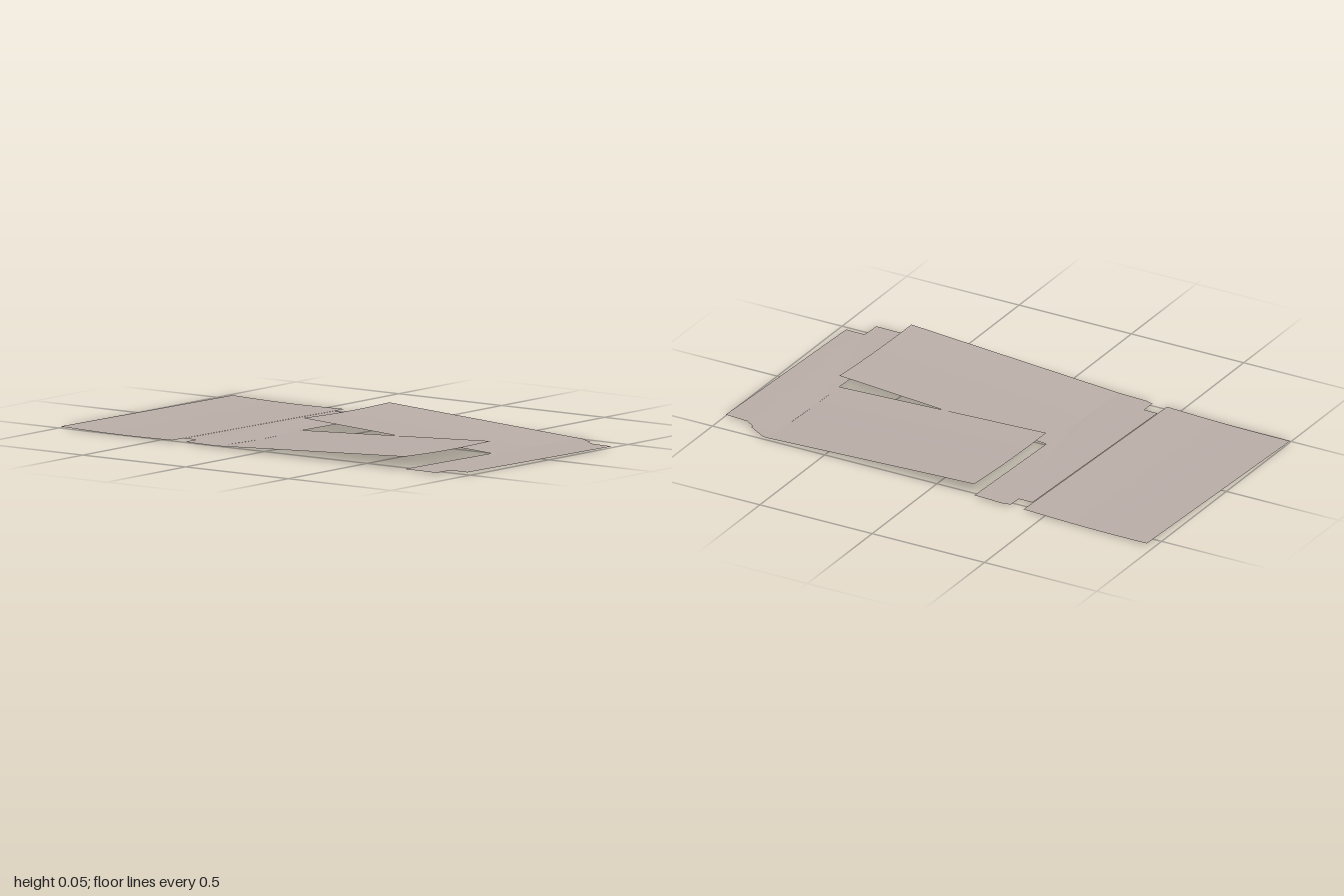
import * as THREE from 'three';

const BASE = 0.007, RISE = 0.055, SAG = 0.005;
const lerp = THREE.MathUtils.lerp;
const material = new THREE.MeshStandardMaterial({ color: 0xb8aca6, side: THREE.DoubleSide });

function makeMesh(name, positions, index) {
  const geometry = new THREE.BufferGeometry();
  geometry.setAttribute('position', new THREE.Float32BufferAttribute(positions, 3));
  geometry.setIndex(index);
  geometry.computeVertexNormals();
  const mesh = new THREE.Mesh(geometry, material);
  mesh.name = name;
  return mesh;
}

// Four-cornered sheet [x, z]: back left, back right, front right, front left.
// height(u, v) gives y, with u across and v from back to front.
function sheet(name, [bl, br, fr, fl], height, nu = 12, nv = 8) {
  const positions = [], index = [];
  for (let j = 0; j <= nv; j++) {
    for (let i = 0; i <= nu; i++) {
      const u = i / nu, v = j / nv;
      const at = (k) => lerp(lerp(bl[k], br[k], u), lerp(fl[k], fr[k], u), v);
      positions.push(at(0), height(u, v), at(1));
      if (i < nu && j < nv) {
        const a = j * (nu + 1) + i, b = a + nu + 1;
        index.push(a, b, a + 1, b, b + 1, a + 1);
      }
    }
  }
  return makeMesh(name, positions, index);
}

// Flat strip cut to an outline of [x, z, y] points
function strip(name, outline) {
  const contour = outline.map(([x, z]) => new THREE.Vector2(x, -z));
  if (THREE.ShapeUtils.isClockWise(contour)) {
    contour.reverse();
    outline = [...outline].reverse();
  }
  const positions = outline.flatMap(([x, z, y = BASE]) => [x, y, z]);
  return makeMesh(name, positions, THREE.ShapeUtils.triangulateShape(contour, []).flat());
}

const sag = (u) => SAG * Math.sin(Math.PI * u);

// Points of a slightly sagging fold between two corners
function fold(a, b, n = 12) {
  return Array.from({ length: n + 1 }, (_, i) => {
    const u = i / n;
    return [lerp(a[0], b[0], u), lerp(a[1], b[1], u), BASE - sag(u)];
  });
}

export function createModel() {
  const group = new THREE.Group();
  group.name = 'unfoldedCarton';

  // Corners of the two large flaps
  const backRightSide = [-0.525, -0.215], backMiddle = [0, -0.198], backLeftSide = [0.523, -0.18];
  const frontRightSide = [-0.554, 0.722], frontMiddle = [-0.031, 0.741], frontLeftSide = [0.492, 0.76];

  // Rear panel, sagging a little in the middle
  group.add(sheet('rearPanel',
    [[-0.493, -1], [0.553, -0.965], [0.534, -0.405], [-0.513, -0.44]],
    (u, v) => BASE - 0.004 * Math.sin(Math.PI * v)));

  // One flap rises to the front, the other to the back
  group.add(sheet('rightFlap',
    [backRightSide, backMiddle, frontMiddle, frontRightSide],
    (u, v) => lerp(BASE, RISE, v) - sag(u)));
  group.add(sheet('leftFlap',
    [backMiddle, backLeftSide, frontLeftSide, frontMiddle],
    (u, v) => lerp(RISE, BASE, v) - sag(u)));

  // Notched strip behind the flaps
  group.add(strip('backStrip', [
    ...fold(backRightSide, backMiddle), backLeftSide,
    [0.53, -0.31], [0.523, -0.342], [0.465, -0.345], [0.466, -0.405],
    [-0.445, -0.436], [-0.447, -0.377], [-0.508, -0.378], [-0.518, -0.345],
  ]));

  // Notched strip in front of the flaps
  group.add(strip('frontStrip', [
    frontRightSide, ...fold(frontMiddle, frontLeftSide),
    [0.491, 0.78], [0.44, 0.862], [0.43, 0.86], [0.405, 0.9], [0.397, 1],
    [-0.475, 0.967], [-0.473, 0.884], [-0.557, 0.88],
  ]));

  return group;
}
